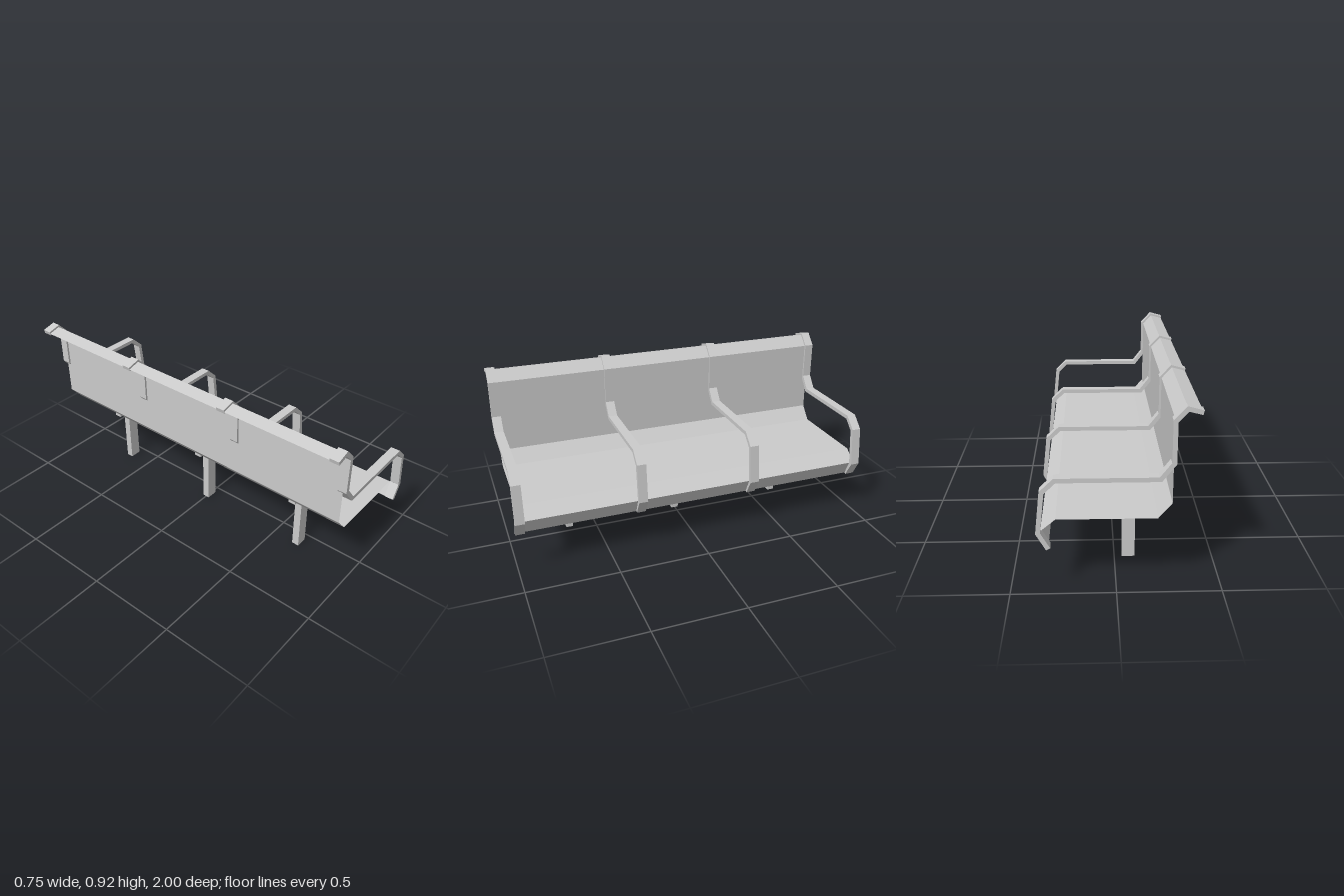
import * as THREE from 'three';

const material = new THREE.MeshStandardMaterial({ color: 0xcccccc, flatShading: true });
const sheetMaterial = new THREE.MeshStandardMaterial({ color: 0xcccccc, flatShading: true, side: THREE.DoubleSide });

// Thin bent sheet: a profile in x, y swept along z
function sheetGeometry(profile, halfLength) {
  const positions = [];
  const indices = [];
  profile.forEach(([x, y], i) => {
    positions.push(x, y, -halfLength, x, y, halfLength);
    if (i > 0) {
      const a = 2 * (i - 1);
      indices.push(a, a + 1, a + 2, a + 1, a + 3, a + 2);
    }
  });
  const geometry = new THREE.BufferGeometry();
  geometry.setAttribute('position', new THREE.Float32BufferAttribute(positions, 3));
  geometry.setIndex(indices);
  geometry.computeVertexNormals();
  return geometry;
}

// Flat bar of constant thickness following a bent path, with mitred corners
function barShape(path, thickness) {
  const points = path.map(([x, y]) => new THREE.Vector2(x, y));
  const normal = (a, b) => new THREE.Vector2(a.y - b.y, b.x - a.x).normalize();
  const upper = [];
  const lower = [];
  points.forEach((p, i) => {
    const n0 = normal(points[Math.max(i - 1, 0)], points[Math.max(i, 1)]);
    const last = points.length - 1;
    const n1 = normal(points[Math.min(i, last - 1)], points[Math.min(i + 1, last)]);
    const mitre = n0.clone().add(n1).normalize();
    mitre.multiplyScalar(thickness / 2 / mitre.dot(n0));
    upper.push(p.clone().add(mitre));
    lower.unshift(p.clone().sub(mitre));
  });
  return new THREE.Shape([...upper, ...lower]);
}

function addBox(group, name, [x0, x1], [y0, y1], z, depth) {
  const mesh = new THREE.Mesh(new THREE.BoxGeometry(x1 - x0, y1 - y0, depth), material);
  mesh.position.set((x0 + x1) / 2, (y0 + y1) / 2, z);
  mesh.name = name;
  group.add(mesh);
}

export function createModel() {
  const bench = new THREE.Group();
  bench.name = 'bench';

  // Top lip and front lip are shared by the sheet and the arm frames
  const topLip = [[-0.373, 0.893], [-0.306, 0.911], [-0.254, 0.855]];
  const frontLip = [[0.36, 0.318], [0.314, 0.237]];

  // One-piece seat and backrest
  const seatProfile = [...topLip, [-0.254, 0.45], [-0.19, 0.376], [0.28, 0.376], [0.35, 0.318], frontLip[1]];
  const seat = new THREE.Mesh(sheetGeometry(seatProfile, 0.975), sheetMaterial);
  seat.name = 'seatAndBackrest';
  bench.add(seat);

  // Arm frames, at both ends and between the three seats
  const armPath = [...topLip, [-0.254, 0.656], [-0.195, 0.58], [0.278, 0.58], [0.338, 0.522], ...frontLip];
  const armWidth = 0.05;
  const armGeometry = new THREE.ExtrudeGeometry(barShape(armPath, 0.022), { depth: armWidth, bevelEnabled: false });
  armGeometry.translate(0, 0, -armWidth / 2);
  for (const z of [-0.975, -0.325, 0.325, 0.975]) {
    const arm = new THREE.Mesh(armGeometry, material);
    arm.position.z = z;
    arm.name = 'armFrame';
    bench.add(arm);
  }

  // Legs with crossbars under the seat
  for (const z of [-0.65, 0, 0.65]) {
    addBox(bench, 'leg', [-0.105, -0.039], [0, 0.345], z, 0.04);
    addBox(bench, 'crossbar', [-0.175, 0.232], [0.345, 0.374], z, 0.042);
  }

  return bench;
}
